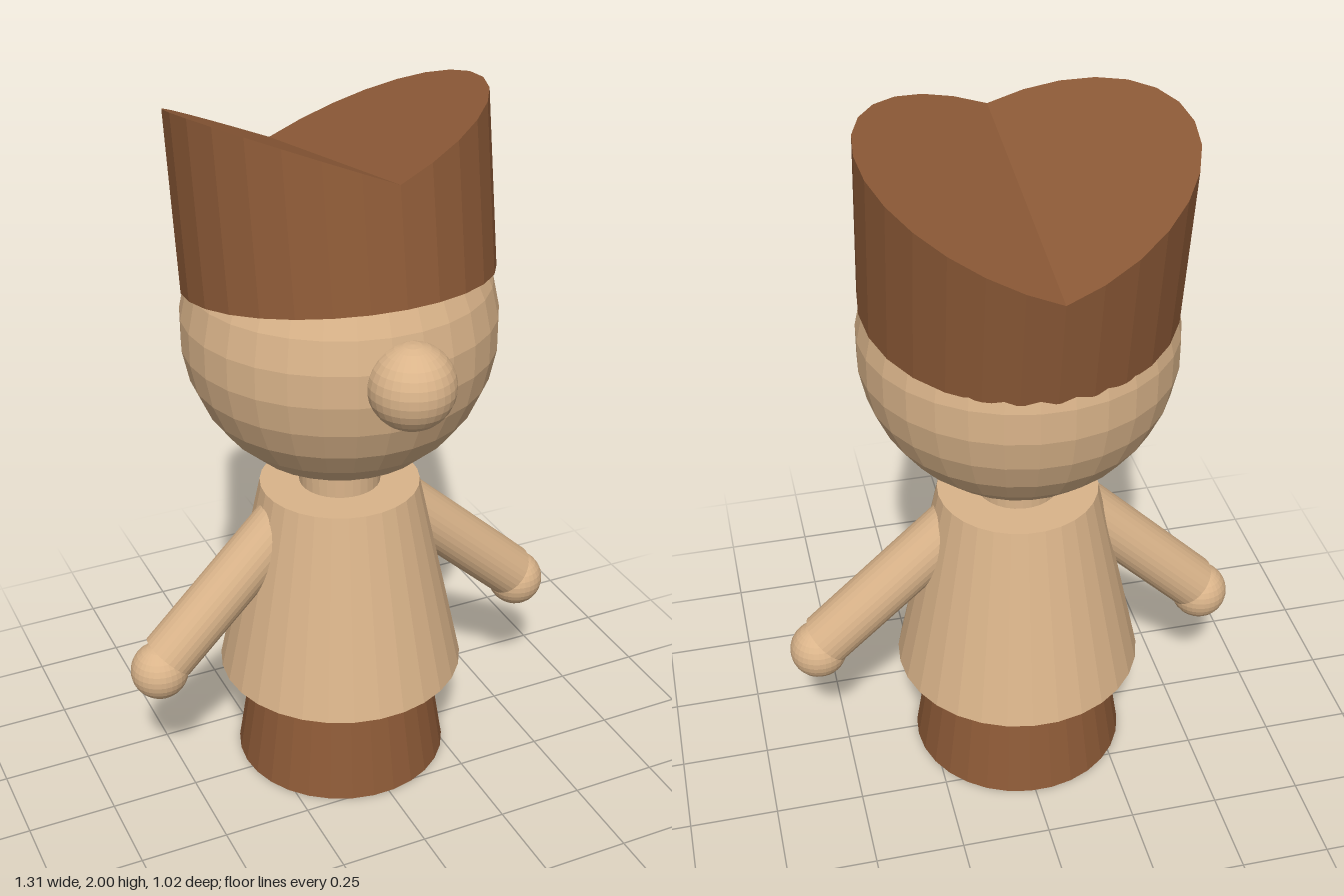
import * as THREE from 'three';

const CX = -0.016, CZ = -0.035, SIDES = 30;

export function createModel() {
  const model = new THREE.Group();
  const tan = new THREE.MeshStandardMaterial({ name: 'tan', color: 0xdab48a, flatShading: true });
  const brown = new THREE.MeshStandardMaterial({ name: 'brown', color: 0x8d5a37, flatShading: true });

  const add = (name, geometry, material, x, y, z) => {
    const mesh = new THREE.Mesh(geometry, material);
    mesh.name = name;
    mesh.position.set(x, y, z);
    model.add(mesh);
    return mesh;
  };
  // Upright cone section between two heights; a corner lies on each side
  const frustum = (name, rBottom, rTop, y0, y1, material) =>
    add(name, new THREE.CylinderGeometry(rTop, rBottom, y1 - y0, SIDES, 1, false, Math.PI / 2),
      material, CX, (y0 + y1) / 2, CZ);
  const ball = (name, r, x, y, z) =>
    add(name, new THREE.SphereGeometry(r, SIDES, SIDES / 2), tan, x, y, z);

  // Body
  frustum('legs', 0.307, 0.25, 0, 0.36, brown);
  frustum('tunic', 0.353, 0.225, 0.31, 0.9, tan);
  frustum('neck', 0.114, 0.114, 0.85, 1.02, tan);

  // Head and nose
  ball('head', 0.428, CX, 1.38, CZ);
  ball('nose', 0.114, CX, 1.386, 0.4);

  // Arms run from inside the tunic to just short of the hands
  const arm = (side, shoulder, wrist, hand) => {
    const a = new THREE.Vector3(...shoulder, CZ), b = new THREE.Vector3(...wrist, CZ);
    const dir = a.clone().sub(b);
    const mesh = add(side + 'Arm', new THREE.CylinderGeometry(0.079, 0.079, dir.length(), SIDES), tan,
      (a.x + b.x) / 2, (a.y + b.y) / 2, CZ);
    mesh.quaternion.setFromUnitVectors(new THREE.Vector3(0, 1, 0), dir.normalize());
    ball(side + 'Hand', 0.082, ...hand, CZ);
  };
  arm('right', [-0.18, 0.816], [-0.548, 0.448], [-0.576, 0.408]);
  arm('left', [0.15, 0.807], [0.548, 0.442], [0.572, 0.408]);

  // Hat: a drum tipped backward, its top raised at both sides into a V groove
  const hatGeometry = new THREE.CylinderGeometry(0.418, 0.418, 0.307, 28);
  hatGeometry.translate(0, 0.1535, 0);
  const p = hatGeometry.attributes.position;
  for (let i = 0; i < p.count; i++) {
    if (p.getY(i) > 0.2) p.setY(i, 0.307 + 0.416 * Math.abs(p.getX(i)));
  }
  const hat = add('hat', hatGeometry, brown, CX, 1.513, -0.042);
  hat.rotation.x = -0.161;

  return model;
}
